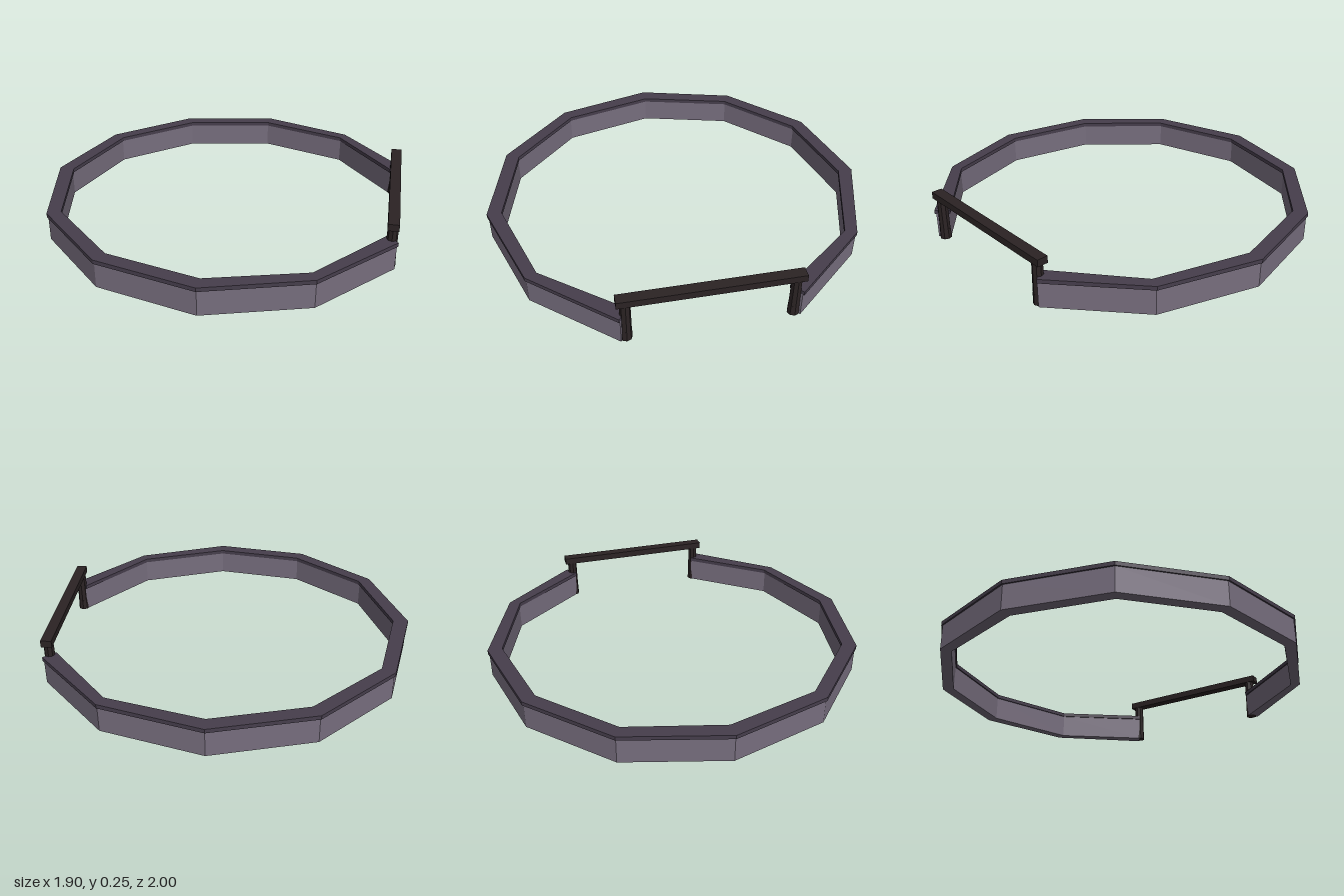
import * as THREE from 'three';

// Corners of half the ring as [outer x, outer z, inner x, inner z]
const HALF = [
  [0.945, 0.43, 0.885, 0.38],
  [0.6, 0.827, 0.575, 0.77],
  [0.095, 0.998, 0.095, 0.922],
  [-0.42, 0.883, -0.385, 0.815],
  [-0.807, 0.52, -0.742, 0.485],
];
const TIP = [-0.953, 0, -0.872, 0];
const CORNERS = [
  ...HALF,
  TIP,
  ...HALF.map(([ox, oz, ix, iz]) => [ox, -oz, ix, -iz]).reverse(),
];

const material = (color) => new THREE.MeshStandardMaterial({ color, flatShading: true });

// Open faceted ring between two heights; inset narrows the band on both sides
function ringBand(name, bottom, top, inset, mat) {
  const outer = [], inner = [];
  for (const [ox, oz, ix, iz] of CORNERS) {
    const o = new THREE.Vector2(ox, oz), i = new THREE.Vector2(ix, iz);
    outer.push(o.clone().lerp(i, inset));
    inner.push(i.clone().lerp(o, inset));
  }
  const shape = new THREE.Shape([...outer, ...inner.reverse()]);
  const geometry = new THREE.ExtrudeGeometry(shape, { depth: top - bottom, bevelEnabled: false });
  geometry.rotateX(Math.PI / 2).translate(0, top, 0);
  const mesh = new THREE.Mesh(geometry, mat);
  mesh.name = name;
  return mesh;
}

export function createModel() {
  const model = new THREE.Group();
  model.name = 'ringFence';

  const wallMat = material(0x776e7e);
  const capMat = material(0x463e4c);
  const woodMat = material(0x2b2324);

  // Low wall with a slightly overhanging cap
  model.add(ringBand('wall', 0, 0.131, 0.1, wallMat));
  model.add(ringBand('wallCap', 0.131, 0.152, 0, capMat));

  // Gate across the gap: tapered posts with a short foot, and a top rail
  const gate = new THREE.Group();
  gate.name = 'gate';
  const x = 0.913;
  for (const side of [1, -1]) {
    const post = new THREE.Mesh(new THREE.CylinderGeometry(0.026, 0.028, 0.218, 8), woodMat);
    post.name = side > 0 ? 'frontPost' : 'backPost';
    post.position.set(x, 0.109, side * 0.398);
    gate.add(post);

    const foot = new THREE.Mesh(new THREE.CylinderGeometry(0.028, 0.03, 0.055, 8), woodMat);
    foot.name = side > 0 ? 'frontPostFoot' : 'backPostFoot';
    foot.position.set(x, 0.0275, side * 0.398);
    gate.add(foot);
  }
  const rail = new THREE.Mesh(new THREE.BoxGeometry(0.055, 0.036, 0.88), woodMat);
  rail.name = 'topRail';
  rail.position.set(x, 0.234, 0);
  gate.add(rail);
  model.add(gate);

  return model;
}
